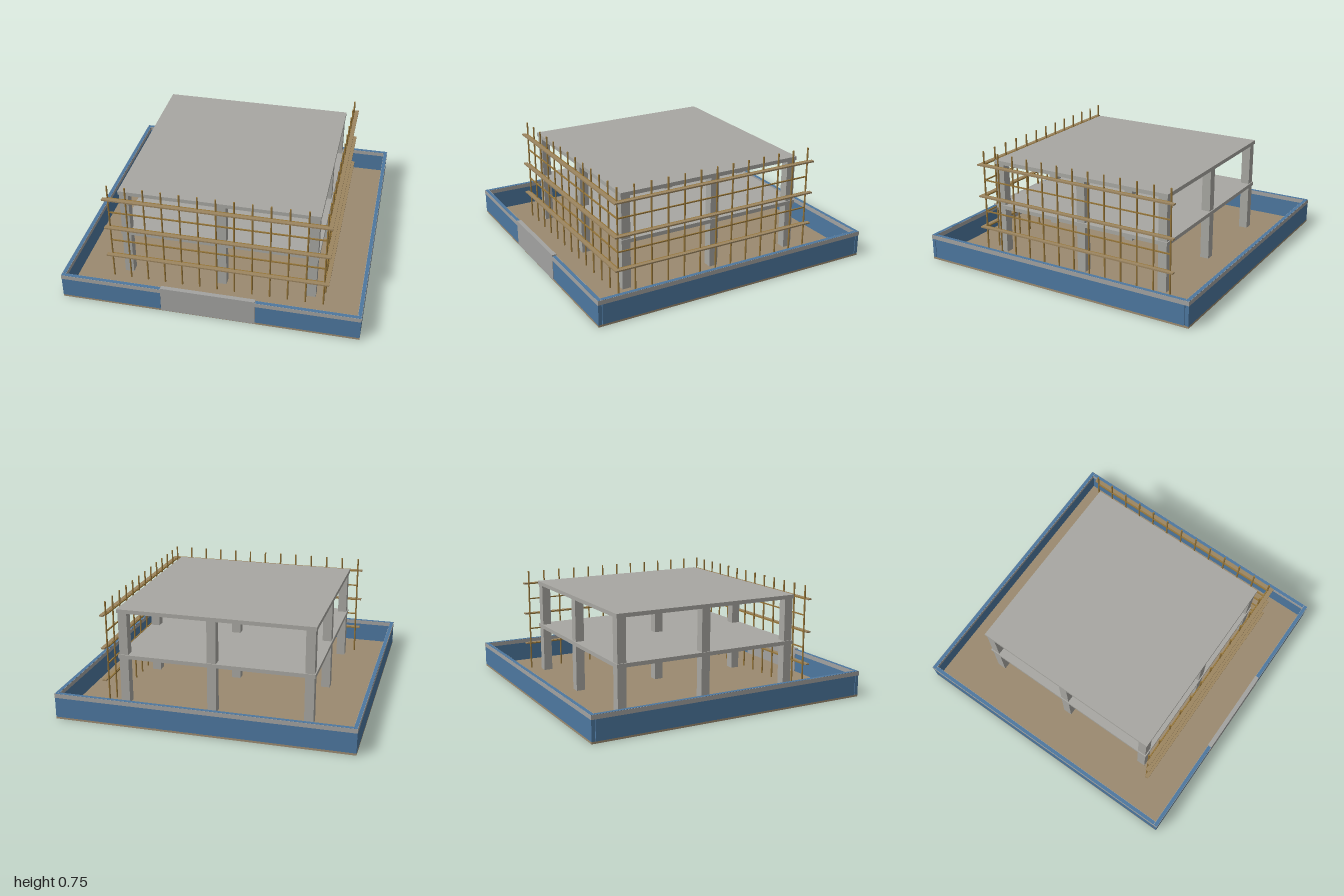
import * as THREE from 'three';

const mat = (name, color) => Object.assign(new THREE.MeshStandardMaterial({ color }), { name });

export function createModel() {
  const model = new THREE.Group();
  model.name = 'constructionSite';

  const earth = mat('earth', 0x9b8a70);
  const concrete = mat('concrete', 0xa8a7a2);
  const fenceBlue = mat('fenceBlue', 0x4d779f);
  const metalGrey = mat('metalGrey', 0xa2a2a0);
  const poleBrass = mat('poleBrass', 0x96763a);
  const plankWood = mat('plankWood', 0x9c8560);

  // Box given by its min and max corners
  const box = (parent, name, material, [x0, y0, z0], [x1, y1, z1]) => {
    const mesh = new THREE.Mesh(new THREE.BoxGeometry(x1 - x0, y1 - y0, z1 - z0), material);
    mesh.position.set((x0 + x1) / 2, (y0 + y1) / 2, (z0 + z1) / 2);
    mesh.name = name;
    parent.add(mesh);
    return mesh;
  };

  // Ground
  box(model, 'ground', earth, [-0.998, 0, -0.998], [0.998, 0.014, 0.998]);

  // Perimeter fence: blue panels with a grey rail wrapped around the upper edge
  const fence = new THREE.Group();
  fence.name = 'fence';
  model.add(fence);
  const T = 0.028, top = 0.18, band = 0.15, e = 0.002;
  const fenceRun = (x0, z0, x1, z1) => {
    box(fence, 'fencePanel', fenceBlue, [x0 + e, 0.013, z0 + e], [x1 - e, top, z1 - e]);
    box(fence, 'fenceRail', metalGrey, [x0, band, z0], [x1, top - 0.001, z1]);
  };
  fenceRun(-1, -1, 1, -1 + T);
  for (const s of [-1, 1]) {
    fenceRun(s < 0 ? -1 : 1 - T, -1 + T, s < 0 ? -1 + T : 1, 1 - T);
    fenceRun(s < 0 ? -1 : 0.315, 1 - T, s < 0 ? -0.315 : 1, 1);
  }

  // Gate in the front run
  box(model, 'gate', metalGrey, [-0.315, 0.004, 0.97], [0.315, 0.188, 1]);

  // Concrete frame: columns and two slabs
  const frame = new THREE.Group();
  frame.name = 'buildingFrame';
  model.add(frame);
  const w = 0.031;
  for (const x of [-0.637, 0.022, 0.637]) {
    for (const z of [-0.637, -0.022, 0.637]) {
      box(frame, 'column', concrete, [x - w, 0.013, z - w], [x + w, 0.665, z + w]);
    }
  }
  box(frame, 'floorSlab', concrete, [-0.675, 0.338, -0.675], [0.675, 0.365, 0.675]);
  box(frame, 'roofSlab', concrete, [-0.675, 0.66, -0.675], [0.675, 0.687, 0.675]);

  // Scaffold bay: poles, rails at five levels and planks at three
  const poleGeometry = new THREE.CylinderGeometry(0.006, 0.006, 0.742, 8);
  const scaffold = (name) => {
    const g = new THREE.Group();
    g.name = name;
    for (let i = 0; i <= 12; i++) {
      const pole = new THREE.Mesh(poleGeometry, poleBrass);
      pole.name = 'scaffoldPole';
      pole.position.set(-0.727 + (i * 1.454) / 12, 0.384, 0.727);
      g.add(pole);
    }
    [0.203, 0.318, 0.432, 0.547, 0.661].forEach((y, i) => {
      box(g, 'scaffoldRail', poleBrass, [-0.73, y - 0.004, 0.722], [0.73, y + 0.004, 0.731]);
      if (i % 2 === 0) box(g, 'scaffoldPlank', plankWood, [-0.76, y - 0.005, 0.732], [0.76, y + 0.005, 0.76]);
    });
    model.add(g);
    return g;
  };
  scaffold('frontScaffold');
  scaffold('leftScaffold').rotation.y = Math.PI / 2;

  return model;
}
